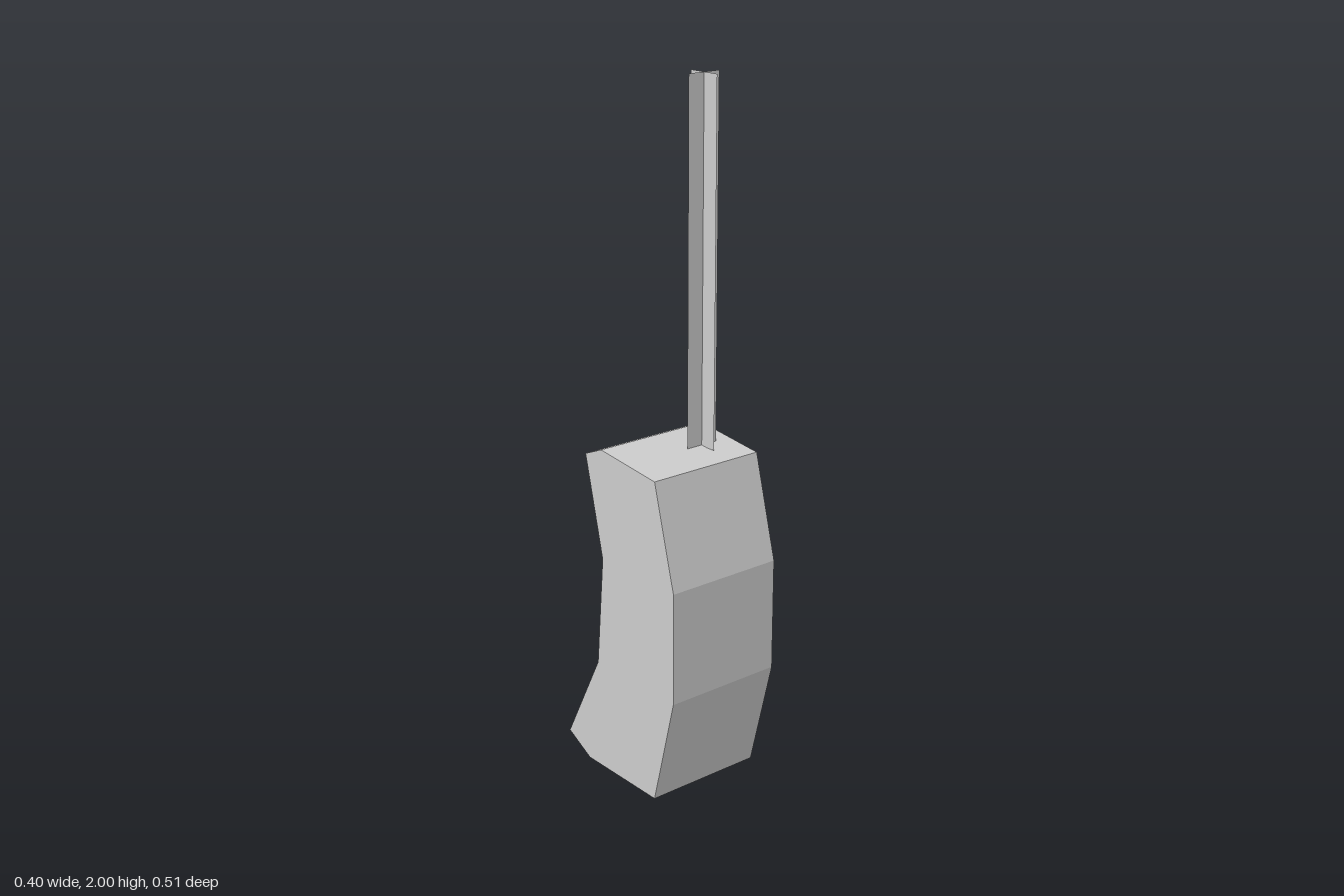
import * as THREE from 'three';

export function createModel() {
  const model = new THREE.Group();
  model.name = 'handset';
  const grey = new THREE.MeshStandardMaterial({ color: 0xcccccc, flatShading: true, side: THREE.DoubleSide });
  grey.name = 'grey';

  // Whole body sits slightly turned about the vertical axis
  const turn = -0.078;

  // Curved body: side profile as (depth, height), extruded across the width
  const width = 0.364;
  const profile = [
    [0.157, 0], [0.24, 0.33], [0.24, 0.66], [0.161, 0.96],
    [-0.072, 0.985], [-0.143, 0.955], [-0.071, 0.66],
    [-0.099, 0.33], [-0.243, 0.05], [-0.146, 0],
  ];
  const shape = new THREE.Shape(profile.map(([z, y]) => new THREE.Vector2(z, y)));
  const bodyGeometry = new THREE.ExtrudeGeometry(shape, { depth: width, bevelEnabled: false });
  bodyGeometry.translate(0, 0, -width / 2);
  bodyGeometry.rotateY(-Math.PI / 2);
  const body = new THREE.Mesh(bodyGeometry, grey);
  body.name = 'body';
  body.rotation.y = turn;
  model.add(body);

  // Antenna: two crossed upright blades
  const antenna = new THREE.Group();
  antenna.name = 'antenna';
  antenna.position.set(0.076, 0, 0.052);
  antenna.rotation.y = turn;
  const bottom = 0.97;
  const top = 2;
  for (let i = 0; i < 2; i++) {
    const blade = new THREE.Mesh(new THREE.PlaneGeometry(0.104, top - bottom), grey);
    blade.name = 'antennaBlade';
    blade.position.y = (top + bottom) / 2;
    blade.rotation.y = i * Math.PI / 2;
    antenna.add(blade);
  }
  model.add(antenna);

  return model;
}
